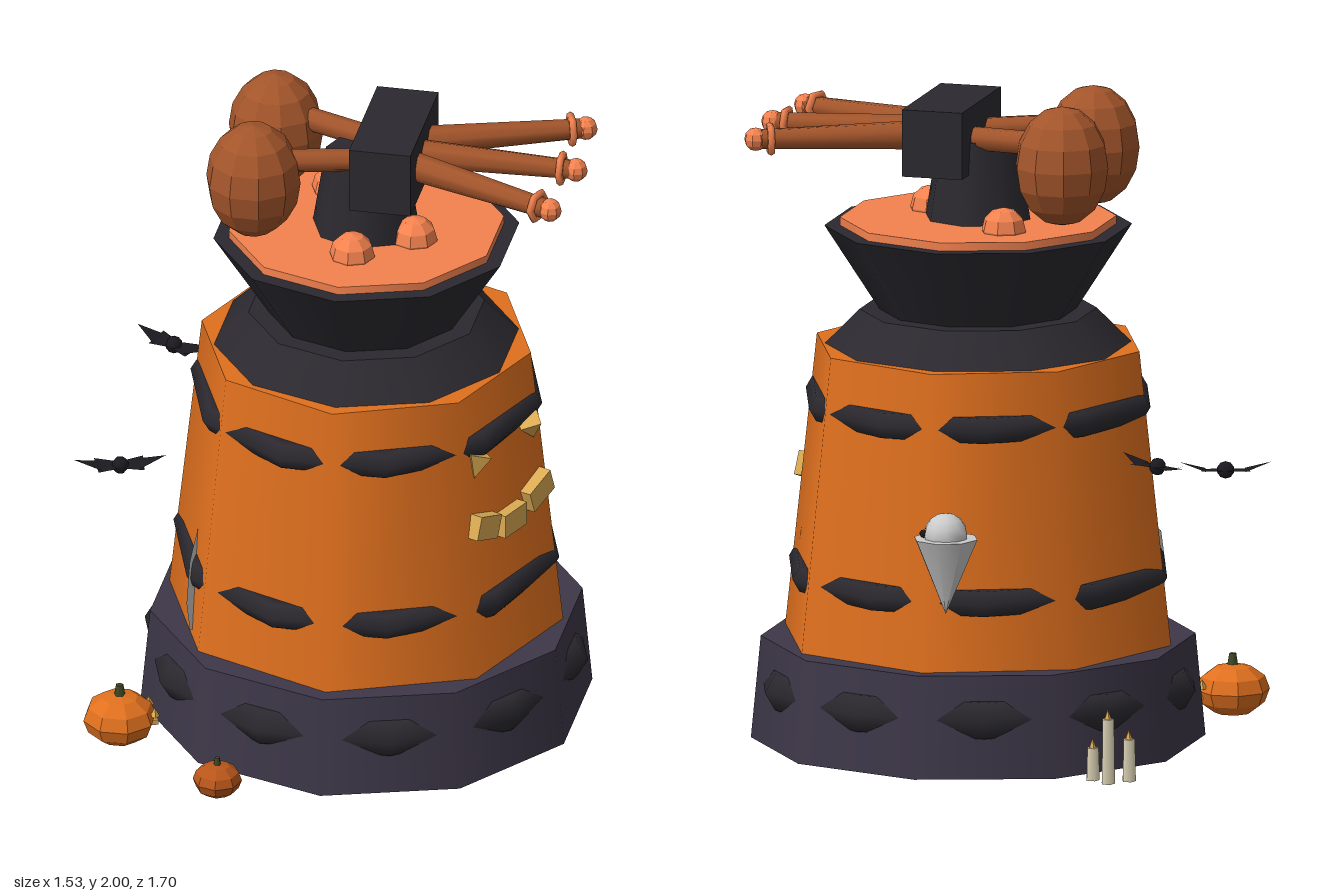
import * as THREE from 'three';

const CX = 0.08, CZ = 0.02; // tower axis
const mat = (color, extra = {}) => new THREE.MeshStandardMaterial({ color, ...extra });
const M = {
  body: mat(0xe0701e), stone: mat(0x3d3748), dark: mat(0x2b292f), black: mat(0x1c1a20, { side: THREE.DoubleSide }),
  coral: mat(0xf4824f), coralFlat: mat(0xf4824f, { flatShading: true }),
  brown: mat(0xa3552b), brownFlat: mat(0xa3552b, { flatShading: true }),
  gold: mat(0xdcab52, { flatShading: true }), pumpkin: mat(0xe0701e, { flatShading: true }),
  pumpkinDark: mat(0xb9561a, { flatShading: true }), stem: mat(0x3f4a24),
  white: mat(0xeeeeee), cloth: mat(0xcccccc, { side: THREE.DoubleSide }), wax: mat(0xe0d6b8),
};

export function createModel() {
  const model = new THREE.Group();
  const add = (name, geo, material, x = 0, y = 0, z = 0, parent = model) => {
    const m = new THREE.Mesh(geo, material);
    m.name = name;
    m.position.set(x, y, z);
    parent.add(m);
    return m;
  };
  const group = (name, x, y, z, ry = 0) => {
    const g = new THREE.Group();
    g.name = name;
    g.position.set(x, y, z);
    g.rotation.y = ry;
    model.add(g);
    return g;
  };
  // Tapered ring of the tower between two heights
  const tier = (name, y0, y1, r0, r1, sides, material) =>
    add(name, new THREE.CylinderGeometry(r1, r0, y1 - y0, sides), material, CX, (y0 + y1) / 2, CZ);
  // Tapered rod between two points
  const rod = (name, a, b, r0, r1, material) => {
    const d = b.clone().sub(a);
    const c = a.clone().add(b).multiplyScalar(0.5);
    const m = add(name, new THREE.CylinderGeometry(r1, r0, d.length(), 8), material, c.x, c.y, c.z);
    m.quaternion.setFromUnitVectors(new THREE.Vector3(0, 1, 0), d.normalize());
    return m;
  };

  // Tower tiers
  tier('base', 0, 0.315, 0.69, 0.66, 10, M.stone);
  tier('body', 0.315, 1.22, 0.61, 0.51, 8, M.body);
  tier('collar', 1.22, 1.325, 0.465, 0.36, 10, M.dark);
  tier('flaredTop', 1.325, 1.585, 0.3, 0.467, 10, M.dark);
  tier('topDisc', 1.58, 1.61, 0.42, 0.42, 10, M.coral);

  // Ten-sided bands that surface between the corners of the tower
  for (const [y, R, r] of [[0.18, 0.622, 0.065], [0.525, 0.553, 0.045], [1.05, 0.5, 0.045]]) {
    add('band', new THREE.TorusGeometry(R, r, 6, 10), M.dark, CX, y, CZ).rotation.x = Math.PI / 2;
  }

  // Gun mount and studs around it
  tier('mount', 1.61, 1.86, 0.165, 0.125, 8, M.dark);
  add('gunBlock', new THREE.BoxGeometry(0.19, 0.207, 0.42), M.dark, 0.165, 1.867, CZ);
  for (const [x, z] of [[0.08, 0.23], [-0.06, -0.18], [0.245, 0.09]]) {
    add('stud', new THREE.SphereGeometry(0.07, 8, 6), M.coralFlat, x, 1.615, z);
  }

  // Three fanned barrels with rings and tips
  for (const side of [-1, 0, 1]) {
    const a = new THREE.Vector3(0.16, 1.87, CZ + side * 0.05);
    const b = new THREE.Vector3(side ? 0.705 : 0.73, 1.865, CZ + side * 0.268);
    rod('barrel', a, b, 0.048, 0.03, M.brown);
    const dir = b.clone().sub(a).normalize();
    const p = b.clone().addScaledVector(dir, -0.045);
    const ring = add('barrelRing', new THREE.TorusGeometry(0.042, 0.012, 6, 6), M.coral, p.x, p.y, p.z);
    ring.quaternion.setFromUnitVectors(new THREE.Vector3(0, 0, 1), dir);
    add('barrelTip', new THREE.SphereGeometry(0.036, 8, 6), M.coralFlat, b.x, b.y, b.z);
  }

  // Two tanks behind the gun block
  for (const side of [-1, 1]) {
    const z = CZ + side * 0.168;
    add('tank', new THREE.SphereGeometry(0.146, 10, 8), M.brownFlat, -0.235, 1.817, z).scale.y = 1.26;
    rod('tankPipe', new THREE.Vector3(-0.22, 1.88, z), new THREE.Vector3(0.12, 1.865, CZ + side * 0.06), 0.036, 0.036, M.brown);
  }

  // Carved face on one facet of the body
  const face = group('face', CX, 0, CZ, Math.PI * 3 / 8);
  for (const s of [-1, 1]) {
    const eye = add('eye', new THREE.ConeGeometry(0.046, 0.075, 4), M.gold, s * 0.147, 0.99, 0.505, face);
    eye.rotation.set(0, 0, Math.PI + s * 0.35);
  }
  for (const s of [-1, 0, 1]) {
    const tooth = add('tooth', new THREE.BoxGeometry(0.115, 0.075, 0.05), M.gold, s * 0.142, s ? 0.79 : 0.753, 0.525, face);
    tooth.rotation.z = s * 0.33;
  }

  // Pumpkins, the larger one with a face
  const pumpkin = (name, x, z, r, material) => {
    const g = group(name, x, 0, z, 0.9);
    add('shell', new THREE.SphereGeometry(r, 8, 6), material, 0, r * 0.78, 0, g).scale.y = 0.72;
    add('stem', new THREE.CylinderGeometry(r * 0.1, r * 0.16, r * 0.35, 5), M.stem, 0, r * 1.6, 0, g);
    return g;
  };
  const large = pumpkin('largePumpkin', -0.585, 0.5, 0.113, M.pumpkin);
  pumpkin('smallPumpkin', -0.225, 0.775, 0.075, M.pumpkinDark);
  large.rotation.y = 2.0;
  for (const s of [-1, 1]) {
    add('eye', new THREE.ConeGeometry(0.016, 0.03, 4), M.gold, s * 0.04, 0.115, 0.1, large);
  }
  add('mouth', new THREE.BoxGeometry(0.05, 0.016, 0.02), M.gold, 0, 0.07, 0.105, large);

  // Ghost: head on an inverted cone
  const ghost = group('ghost', -0.045, 0, -0.755);
  add('sheet', new THREE.ConeGeometry(0.1, 0.235, 8), M.cloth, 0, 0.655, 0, ghost).rotation.x = Math.PI;
  add('head', new THREE.SphereGeometry(0.068, 10, 8), M.white, 0, 0.782, 0, ghost);
  for (const s of [-1, 1]) {
    add('eye', new THREE.SphereGeometry(0.013, 6, 5), M.black, 0.062, 0.788, s * 0.027, ghost);
  }

  // Bats with swept triangular wings
  for (const [x, y, z, ry] of [[-0.587, 0.94, -0.32, -0.46], [-0.635, 0.82, 0.25, 0.32]]) {
    const bat = group('bat', x, y, z, ry);
    add('batBody', new THREE.SphereGeometry(0.027, 6, 5), M.black, 0, 0, 0, bat);
    for (const s of [-1, 1]) {
      const wing = new THREE.BufferGeometry();
      wing.setAttribute('position', new THREE.Float32BufferAttribute([
        0, 0, -0.022, s * 0.075, 0.004, -0.045, s * 0.07, -0.004, 0.035,
        0, 0, -0.022, s * 0.07, -0.004, 0.035, 0, 0, 0.022,
        s * 0.06, 0, -0.035, s * 0.14, 0.025, 0, s * 0.06, 0, 0.03,
      ], 3));
      wing.computeVertexNormals();
      add('batWing', wing, M.black, 0, 0, 0, bat);
    }
  }

  // Candles with small flames
  for (const [x, z, h] of [[-0.55, -0.505, 0.13], [-0.5, -0.56, 0.2], [-0.44, -0.52, 0.1]]) {
    add('candle', new THREE.CylinderGeometry(0.019, 0.022, h, 5), M.wax, x, h / 2, z);
    add('flame', new THREE.ConeGeometry(0.012, 0.03, 5), M.gold, x, h + 0.015, z);
  }

  // Thin web sheet partly sunk in the body
  add('web', new THREE.CircleGeometry(0.17, 8), M.cloth, -0.39, 0.47, 0.27).rotation.y = Math.PI / 2;

  return model;
}
